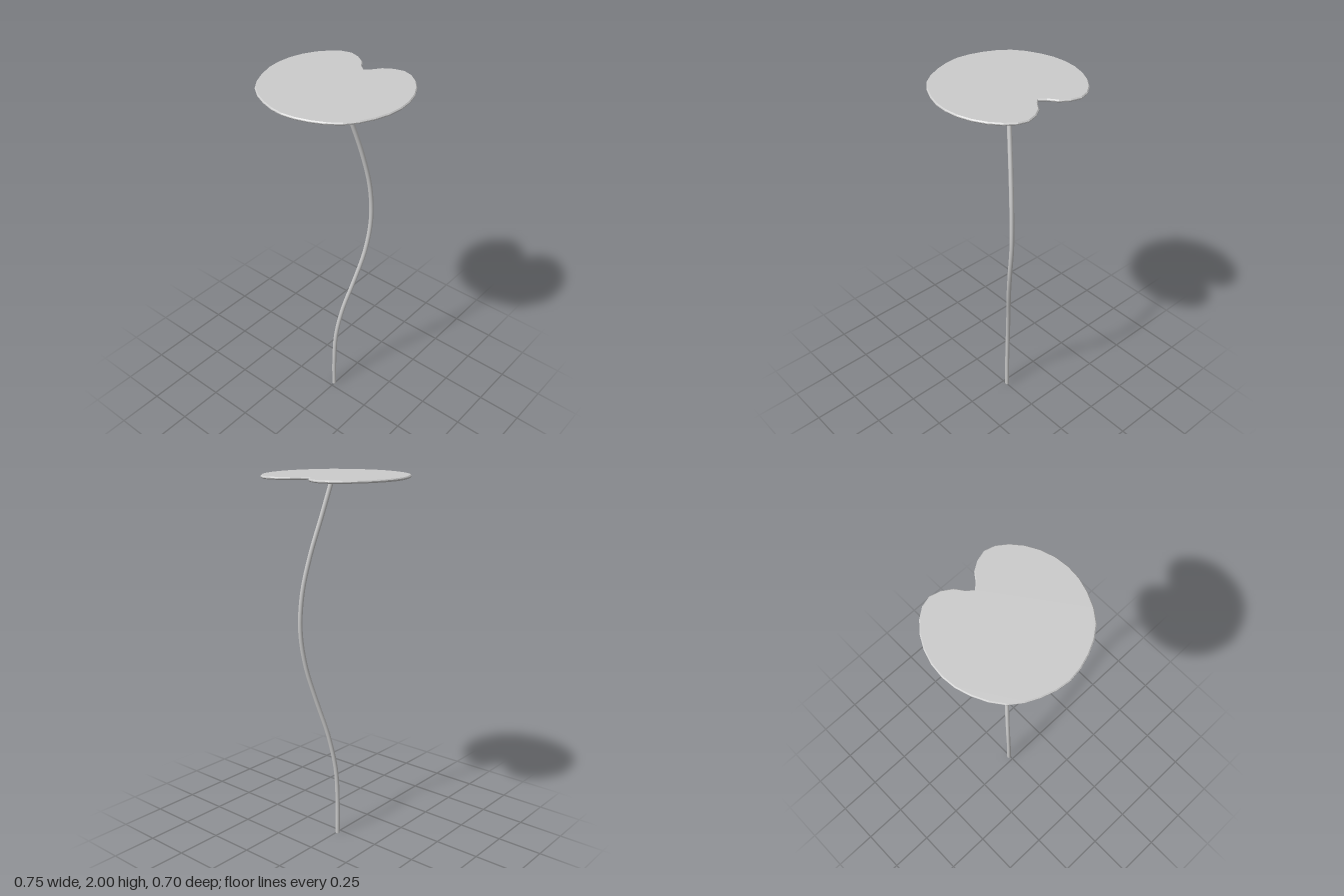
import * as THREE from 'three';

export function createModel() {
  const group = new THREE.Group();
  const material = new THREE.MeshStandardMaterial({ color: 0xcccccc });

  // Heart-notched pad: right half of the outline (x, z), from notch to front tip
  const half = [
    [0.028, -0.26], [0.06, -0.304], [0.108, -0.335], [0.162, -0.35], [0.215, -0.335],
    [0.265, -0.298], [0.31, -0.245], [0.345, -0.18], [0.367, -0.108], [0.374, -0.035],
    [0.367, 0.037], [0.345, 0.108], [0.31, 0.18], [0.265, 0.24], [0.205, 0.285],
    [0.14, 0.316], [0.07, 0.338],
  ];
  const mirrored = half.map(([x, z]) => [-x, z]).reverse();
  const outline = [[0.002, -0.237], ...half, [0, 0.347], ...mirrored];
  const shape = new THREE.Shape(outline.map(([x, z]) => new THREE.Vector2(x, z)));
  const padGeometry = new THREE.ExtrudeGeometry(shape, {
    depth: 0.004, bevelThickness: 0.005, bevelSize: 0.005, bevelOffset: -0.005, bevelSegments: 1,
  });
  padGeometry.rotateX(Math.PI / 2).translate(0, 1.995, 0);
  const pad = new THREE.Mesh(padGeometry, material);
  pad.name = 'leafPad';
  group.add(pad);

  // Curved stem, straight near the base and bowing back and sideways above
  const path = new THREE.CatmullRomCurve3([
    [-0.005, 0, -0.028], [-0.005, 0.2, -0.028], [0, 0.4, -0.038], [0.025, 0.6, -0.07],
    [0.066, 0.8, -0.117], [0.1, 1, -0.163], [0.112, 1.2, -0.189], [0.105, 1.4, -0.179],
    [0.079, 1.6, -0.142], [0.043, 1.8, -0.091], [0.01, 1.99, -0.044],
  ].map((p) => new THREE.Vector3(...p)));
  const radius = 0.012, sides = 8;
  const stem = new THREE.Mesh(new THREE.TubeGeometry(path, 40, radius, sides), material);
  stem.name = 'stem';
  group.add(stem);

  // Closed underside of the stem
  const cap = new THREE.Mesh(new THREE.CircleGeometry(radius, sides).rotateX(Math.PI / 2), material);
  cap.position.set(-0.005, 0, -0.028);
  cap.name = 'stemBase';
  group.add(cap);

  return group;
}
